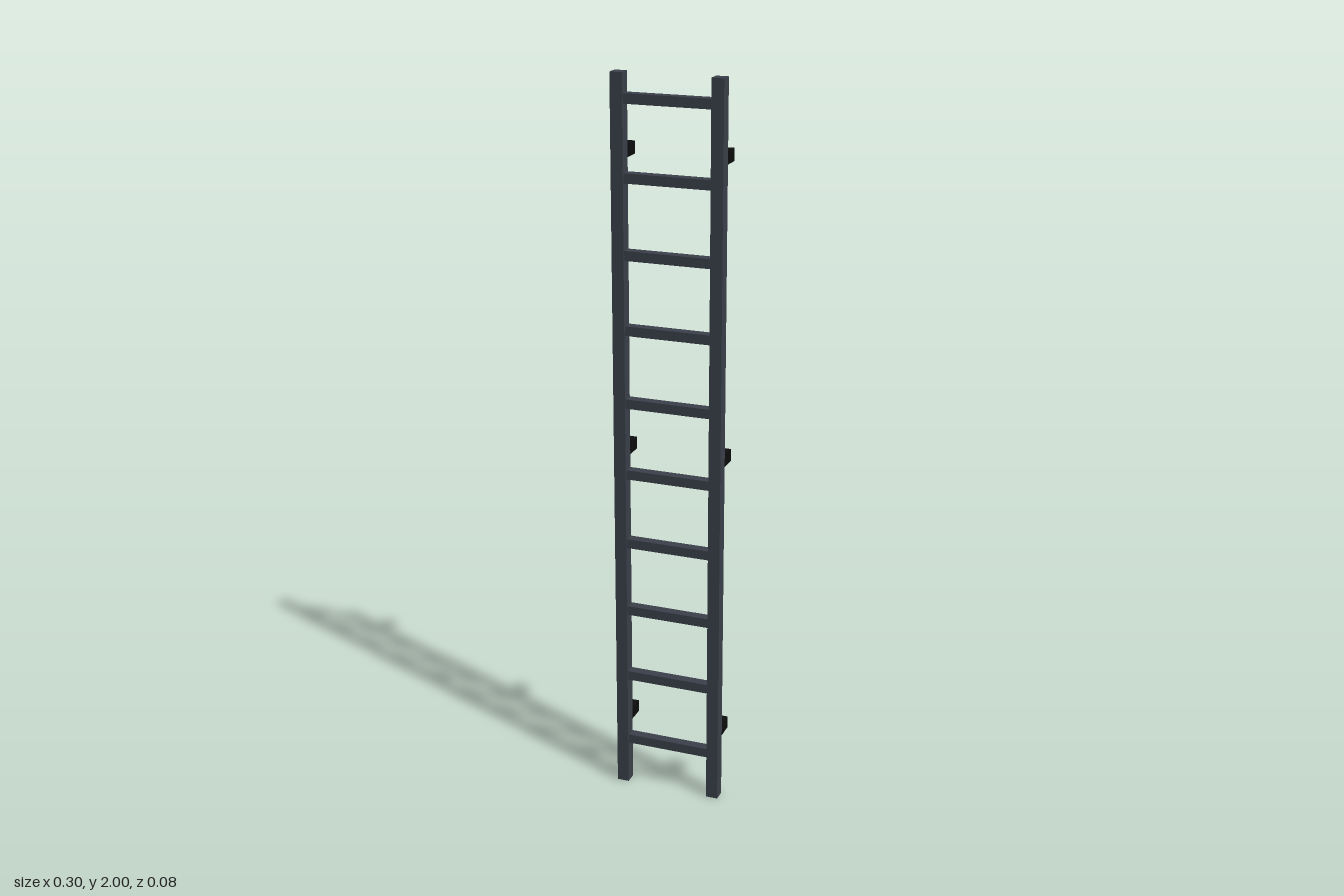
import * as THREE from 'three';

export function createModel() {
  const steel = new THREE.MeshStandardMaterial({ color: 0x3a404a });
  steel.name = 'dark slate steel';
  const black = new THREE.MeshStandardMaterial({ color: 0x0d0d0d });
  black.name = 'black';

  const ladder = new THREE.Group();
  ladder.name = 'ladder';

  const addBox = (name, size, position, material) => {
    const mesh = new THREE.Mesh(new THREE.BoxGeometry(...size), material);
    mesh.name = name;
    mesh.position.set(...position);
    ladder.add(mesh);
  };

  // Side rails, each with three wall brackets behind it
  for (const [side, s] of [['left', 1], ['right', -1]]) {
    addBox(`${side}Rail`, [0.033, 2, 0.034], [s * 0.1335, 1, 0.025], steel);
    [0.2, 1, 1.8].forEach((y, i) =>
      addBox(`${side}Bracket${i + 1}`, [0.033, 0.033, 0.05], [s * 0.1335, y, -0.017], black));
  }

  // Evenly spaced rungs between the rails
  for (let i = 0; i < 10; i++) {
    addBox(`rung${i + 1}`, [0.234, 0.026, 0.027], [0, 0.135 + i * 0.2, 0.0235], steel);
  }

  return ladder;
}
